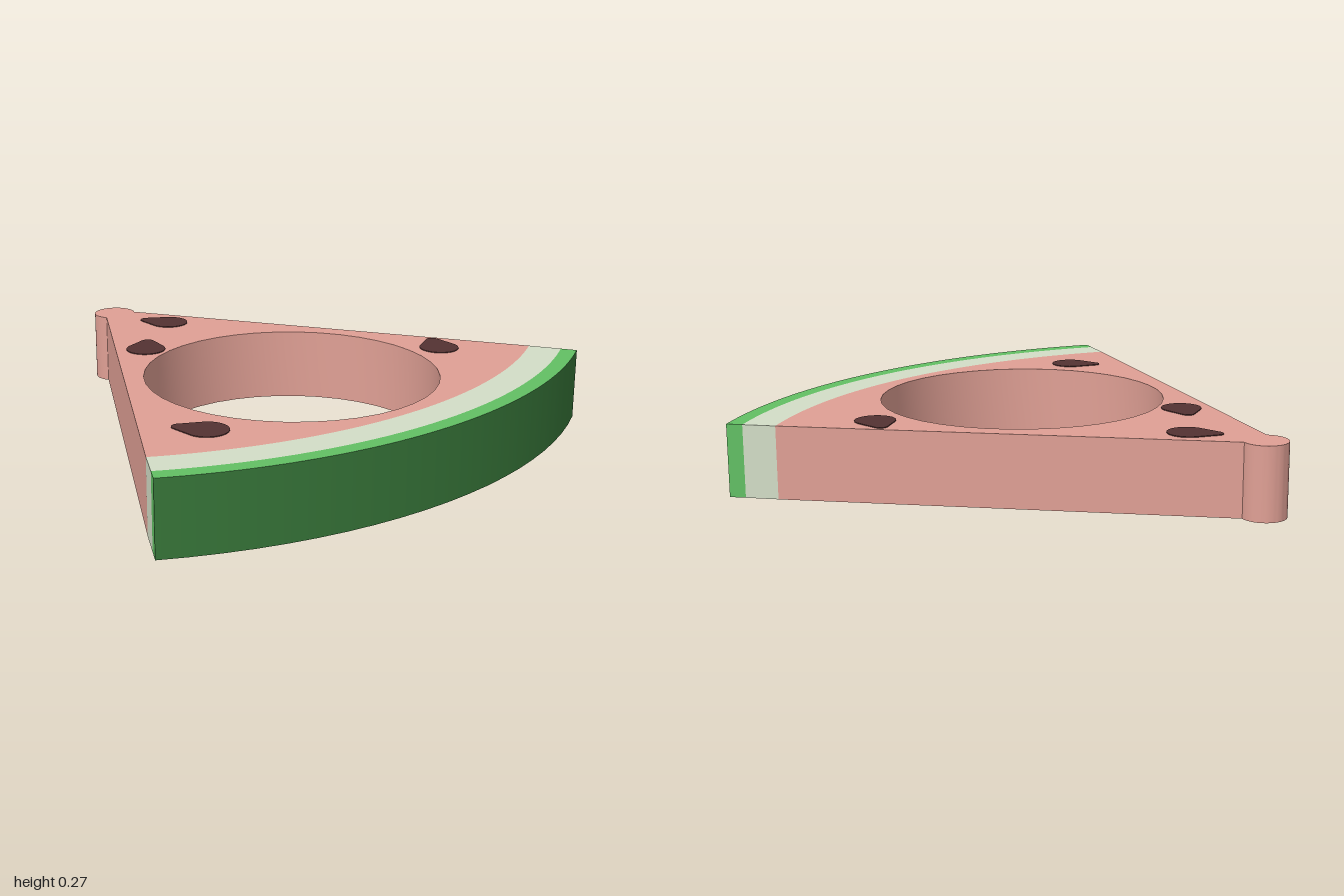
import * as THREE from 'three';
import { toCreasedNormals } from 'three/addons/utils/BufferGeometryUtils.js';

const HEIGHT = 0.27;     // overall thickness
const PLATE = 0.003;     // how far the seeds stand proud of the faces
const APEX = -1.042;     // z where the straight sides would meet
const TIP = 0.08;        // radius of the rounded tip
const R_FLESH = 1.82, R_PITH = 1.94, R_RIND = 1.999, R_SKIN = 2.0;
const A0 = Math.PI / 3, A1 = 2 * Math.PI / 3; // the 60 degree wedge

const paint = (name, color) => {
  const m = new THREE.MeshStandardMaterial({ color });
  m.name = name;
  return m;
};

// Extrudes a shape drawn in (x, z) upwards from y = base
function slab(name, shape, base, height, material, segments) {
  let geo = new THREE.ExtrudeGeometry(shape, { depth: height, bevelEnabled: false, curveSegments: segments });
  geo.rotateX(Math.PI / 2).translate(0, base + height, 0);
  geo = toCreasedNormals(geo, 0.5);
  const mesh = new THREE.Mesh(geo, material);
  mesh.name = name;
  return mesh;
}

// Curved band between two radii of the wedge
function band(inner, outer) {
  const s = new THREE.Shape();
  s.absarc(0, APEX, outer, A0, A1, false);
  s.absarc(0, APEX, inner, A1, A0, true);
  s.closePath();
  return s;
}

// Wedge with a rounded tip and a round hole
function fleshShape() {
  const s = new THREE.Shape();
  s.absarc(0, APEX, R_FLESH, A0, A1, false);
  s.absarc(0, APEX + 2 * TIP, TIP, Math.PI * 5 / 6, Math.PI * 13 / 6, false);
  s.closePath();
  const hole = new THREE.Path();
  hole.absarc(0, 0.195, 0.53, 0, Math.PI * 2, true);
  s.holes.push(hole);
  return s;
}

// Teardrop: the outline around a large and a small circle
function seedShape(x, z, dx, dz) {
  const R = 0.073, r = 0.025;
  const dir = Math.atan2(dz, dx);
  const open = Math.acos((R - r) / Math.hypot(dx, dz));
  const s = new THREE.Shape();
  s.absarc(x + dx, z + dz, r, dir - open, dir + open, false);
  s.absarc(x, z, R, dir + open, dir - open + Math.PI * 2, false);
  s.closePath();
  return s;
}

export function createModel() {
  const group = new THREE.Group();
  group.name = 'watermelonSlice';

  const fleshPink = paint('fleshPink', 0xe0a095);
  const pithCream = paint('pithCream', 0xd3dec7);
  const rindGreen = paint('rindGreen', 0x62c064);
  const skinGreen = paint('skinGreen', 0x38783a);
  const seedBrown = paint('seedBrown', 0x543232);

  // Body layers, from the tip outwards
  const base = PLATE, body = HEIGHT - 2 * PLATE;
  group.add(slab('flesh', fleshShape(), base, body, fleshPink, 20));
  group.add(slab('pith', band(R_FLESH, R_PITH), base, body, pithCream, 20));
  group.add(slab('rind', band(R_PITH, R_RIND), base, body, rindGreen, 20));

  // Dark outer skin on the curved edge
  const skinGeo = new THREE.CylinderGeometry(R_SKIN, R_SKIN, body, 20, 1, true, -Math.PI / 6, Math.PI / 3);
  const skin = new THREE.Mesh(skinGeo, skinGreen);
  skin.name = 'skin';
  skin.position.set(0, HEIGHT / 2, APEX);
  group.add(skin);

  // Seeds on both faces: body centre, then offset to the pointed end
  const seeds = [
    [0.077, -0.62, -0.046, -0.085],
    [-0.217, -0.383, 0.062, -0.072],
    [0.633, 0.327, 0.052, -0.082],
    [-0.613, 0.467, -0.052, -0.082],
  ];
  seeds.forEach((p, i) => {
    const shape = seedShape(...p);
    group.add(slab(`topSeed${i + 1}`, shape, HEIGHT - 2 * PLATE, 2 * PLATE, seedBrown, 14));
    group.add(slab(`bottomSeed${i + 1}`, shape, 0, 2 * PLATE, seedBrown, 14));
  });

  return group;
}
